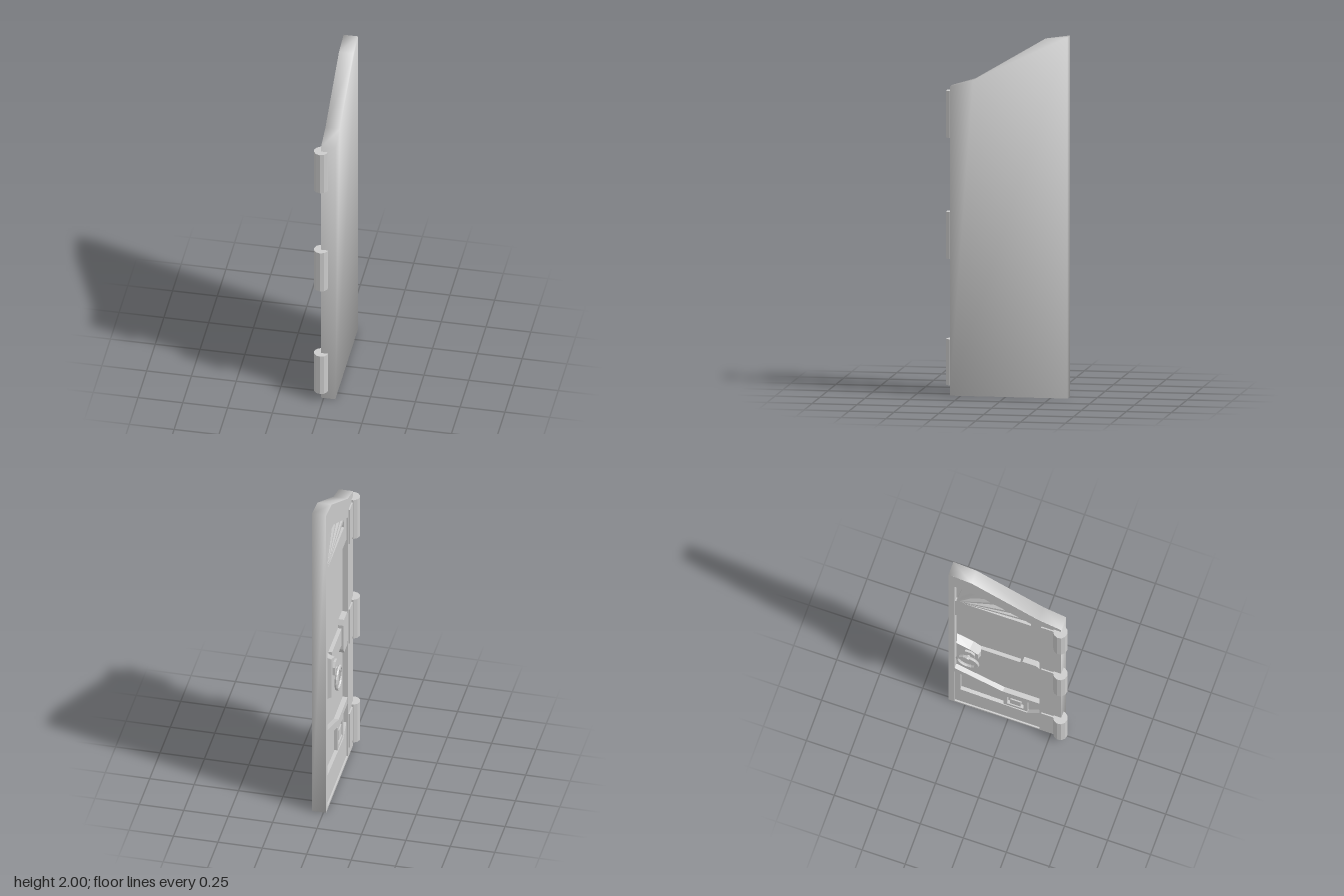
import * as THREE from 'three';
import { toCreasedNormals } from 'three/addons/utils/BufferGeometryUtils.js';

const grey = new THREE.MeshStandardMaterial({ color: 0xcccccc });
const faceted = new THREE.MeshStandardMaterial({ color: 0xcccccc, flatShading: true });
const FACE = -0.015; // plane of the decorated side
const FLOOR = 0.015; // bottom of the recess
const RAIL = -0.006; // face of the rails set between the stiles

const toPoints = (pts) => pts.map(([z, y]) => new THREE.Vector2(z, y));

// Extrudes a (z, y) outline from x = from out to x = to (to < from)
function plate(pts, from, to, holes = []) {
  const shape = new THREE.Shape(toPoints(pts));
  holes.forEach((h) => shape.holes.push(new THREE.Path(toPoints(h))));
  const geo = new THREE.ExtrudeGeometry(shape, { depth: from - to, bevelEnabled: false });
  return geo.rotateY(-Math.PI / 2).translate(from, 0, 0);
}

const rect = (z0, y0, z1, y1) => [[z0, y0], [z1, y0], [z1, y1], [z0, y1]];

// Softly shaded shell, left open on the decorated side
function openShell(pts) {
  const geo = toCreasedNormals(plate(pts, 0.065, FACE), Math.PI);
  const p = geo.attributes.position;
  const keep = [];
  for (let i = 0; i < p.count; i += 3) {
    const onFace = [0, 1, 2].every((k) => Math.abs(p.getX(i + k) - FACE) < 1e-4);
    if (!onFace) keep.push(i, i + 1, i + 2);
  }
  geo.clearGroups();
  geo.setIndex(keep);
  return geo;
}

export function createModel() {
  const door = new THREE.Group();
  door.name = 'door';
  const add = (name, geo, mat = grey) => {
    const mesh = new THREE.Mesh(geo, mat);
    mesh.name = name;
    door.add(mesh);
    return mesh;
  };

  // Door leaf: outer shell, frame with one tall opening, and recess floor
  const outline = [[0.31, 0], [0.31, 1.71], [0.18, 1.75], [-0.21, 1.98], [-0.345, 2], [-0.345, 0]];
  const frame = [[0.309, 0.001], [0.309, 1.709], [0.18, 1.749], [-0.21, 1.979], [-0.344, 1.999], [-0.344, 0.001]];
  const opening = [[-0.31, 0.015], [0.185, 0.015], [0.185, 1.62], [0.13, 1.65], [-0.16, 1.81], [-0.31, 1.84]];
  add('outerShell', openShell(outline));
  add('innerFrame', plate(frame, FLOOR + 0.005, FACE, [opening]));
  add('recessFloor', plate(opening, FLOOR + 0.005, FLOOR));

  // Rails between the stiles
  add('middleRail', plate([
    [-0.31, 1.36], [-0.17, 1.47], [0.185, 1.47], [0.185, 1.59], [-0.31, 1.59],
  ], FLOOR, RAIL));
  add('windowPost', plate([[0.13, 1.59], [0.185, 1.59], [0.185, 1.62], [0.13, 1.65]], FLOOR, RAIL));
  add('bottomRail', plate([
    [-0.31, 0.015], [0.185, 0.015], [0.185, 0.24], [0.11, 0.18], [-0.28, 0.2], [-0.28, 0.48], [-0.31, 0.49],
  ], FLOOR, RAIL));
  add('lowerRim', plate([
    [-0.31, 0.48], [-0.04, 0.37], [0.185, 0.37], [0.185, 0.41], [-0.03, 0.41], [-0.31, 0.53],
  ], FLOOR, -0.013));

  // Bars fanning out of the lower corner of the window
  const origin = [-0.3, 1.59];
  [[-0.255, 1.83], [-0.17, 1.81], [-0.07, 1.76], [0.03, 1.705], [0.12, 1.655]].forEach(([z, y]) => {
    const a = Math.atan2(y - origin[1], z - origin[0]);
    const dz = -Math.sin(a) * 0.012, dy = Math.cos(a) * 0.012;
    add('windowBar', plate([
      [origin[0] + dz * 0.3, origin[1] + dy * 0.3], [origin[0] - dz * 0.3, origin[1] - dy * 0.3],
      [z - dz, y - dy], [z + dz, y + dy],
    ], FLOOR, RAIL));
  });

  // Strap with its end block
  add('strap', plate(rect(-0.16, 0.84, 0.12, 0.95), FLOOR, RAIL));
  add('strapBlock', plate([
    [0.085, 0.78], [0.165, 0.78], [0.185, 0.81], [0.185, 0.97], [0.165, 1], [0.085, 1], [0.07, 0.97], [0.07, 0.81],
  ], FLOOR, FACE - 0.001));

  // Lock plate with sloping sides
  const lock = plate([
    [-0.305, 0.72], [-0.22, 0.74], [-0.15, 0.85], [-0.15, 0.93], [-0.21, 0.98], [-0.305, 1.02],
  ], FLOOR, -0.032);
  const p = lock.attributes.position;
  for (let i = 0; i < p.count; i++) {
    if (p.getX(i) > -0.03) continue;
    p.setY(i, 0.87 + (p.getY(i) - 0.87) * 0.85);
    p.setZ(i, -0.24 + (p.getZ(i) + 0.24) * 0.8);
  }
  lock.computeVertexNormals();
  add('lockPlate', lock);

  // Boss, pin and ring handle
  add('handleBoss', plate([
    [-0.26, 0.87], [-0.185, 0.87], [-0.185, 0.92], [-0.205, 0.945], [-0.24, 0.945], [-0.26, 0.92],
  ], -0.03, -0.044));
  const pin = add('handlePin', new THREE.CylinderGeometry(0.012, 0.012, 0.03, 8), faceted);
  pin.rotation.z = Math.PI / 2;
  pin.position.set(-0.053, 0.89, -0.22);
  const ring = add('ringHandle', new THREE.TorusGeometry(0.06, 0.009, 6, 16), faceted);
  ring.rotation.y = Math.PI / 2;
  ring.scale.y = 1.1;
  ring.position.set(-0.056, 0.83, -0.22);

  // Square fitting made of nested frames
  add('squareFrame', plate(rect(-0.03, 0.2, 0.11, 0.35), FLOOR, RAIL, [rect(-0.008, 0.223, 0.088, 0.327)]));
  add('squareBoss', plate(rect(0.01, 0.243, 0.07, 0.307), FLOOR, RAIL));

  // Three hinges: faceted knuckle and leaf
  [[0.05, 0.305], [0.75, 1.01], [1.42, 1.68]].forEach(([y0, y1]) => {
    const knuckle = add('hingeKnuckle', new THREE.CylinderGeometry(0.04, 0.04, y1 - y0, 11), faceted);
    knuckle.position.set(-0.015, (y0 + y1) / 2, 0.305);
    add('hingeLeaf', plate(rect(0.195, y0 + 0.015, 0.29, y1 - 0.015), FACE + 0.002, -0.023));
  });

  return door;
}
